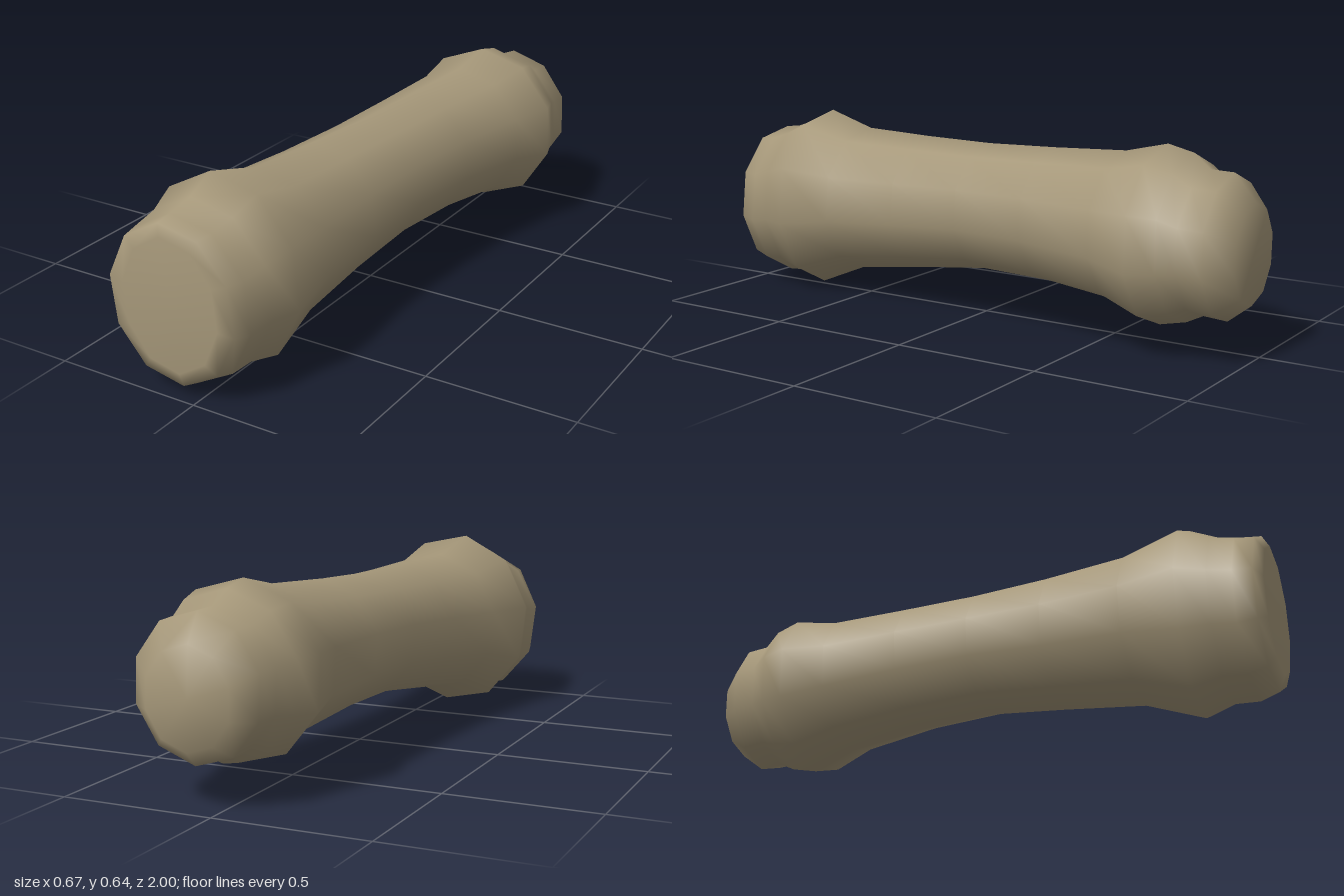
import * as THREE from 'three';

const SIDES = 10;

// Cross-sections from front to back: z, left x, right x, bottom y, top y
const SECTIONS = [
  [1.0, -0.24, 0.10, 0.09, 0.52],
  [0.98, -0.305, 0.145, 0.04, 0.553],
  [0.92, -0.32, 0.16, 0.02, 0.56],
  [0.84, -0.315, 0.18, 0.03, 0.585],
  [0.745, -0.34, 0.212, 0.0, 0.632],
  [0.55, -0.285, 0.19, 0.08, 0.582],
  [0.27, -0.235, 0.185, 0.12, 0.577],
  [0.0, -0.205, 0.2, 0.155, 0.577],
  [-0.27, -0.19, 0.23, 0.153, 0.588],
  [-0.55, -0.18, 0.285, 0.13, 0.605],
  [-0.70, -0.205, 0.338, 0.08, 0.64],
  [-0.79, -0.175, 0.31, 0.10, 0.62],
  [-0.85, -0.14, 0.295, 0.13, 0.577],
  [-0.93, -0.13, 0.29, 0.125, 0.575],
  [-1.0, -0.07, 0.21, 0.18, 0.49],
];

// Skin the elliptical sections into one closed, smooth, ten-sided body
function loft(sections) {
  const points = [];
  const index = [];
  for (const [z, x0, x1, y0, y1] of sections) {
    const twist = THREE.MathUtils.degToRad(-13 + 3 * z);
    for (let j = 0; j < SIDES; j++) {
      const a = twist + (j / SIDES) * Math.PI * 2;
      points.push(
        (x0 + x1) / 2 + Math.cos(a) * (x1 - x0) * 0.508,
        Math.max(0, (y0 + y1) / 2 + Math.sin(a) * (y1 - y0) * 0.505),
        z
      );
    }
  }
  for (let i = 0; i < sections.length - 1; i++) {
    for (let j = 0; j < SIDES; j++) {
      const k = (j + 1) % SIDES;
      const a = i * SIDES + j, b = i * SIDES + k;
      index.push(a, a + SIDES, b, b, a + SIDES, b + SIDES);
    }
  }
  // End caps
  const last = (sections.length - 1) * SIDES;
  const front = points.length / 3;
  for (const [z, x0, x1, y0, y1] of [sections[0], sections[sections.length - 1]]) {
    points.push((x0 + x1) / 2, (y0 + y1) / 2, z);
  }
  for (let j = 0; j < SIDES; j++) {
    const k = (j + 1) % SIDES;
    index.push(front, j, k, front + 1, last + k, last + j);
  }
  const geometry = new THREE.BufferGeometry();
  geometry.setAttribute('position', new THREE.Float32BufferAttribute(points, 3));
  geometry.setIndex(index);
  geometry.computeVertexNormals();
  return geometry;
}

export function createModel() {
  const group = new THREE.Group();
  group.name = 'boneShaft';
  const tan = new THREE.MeshStandardMaterial({ color: 0xa59779 });
  tan.name = 'tan';
  const body = new THREE.Mesh(loft(SECTIONS), tan);
  body.name = 'shaftWithKnuckles';
  group.add(body);
  return group;
}
